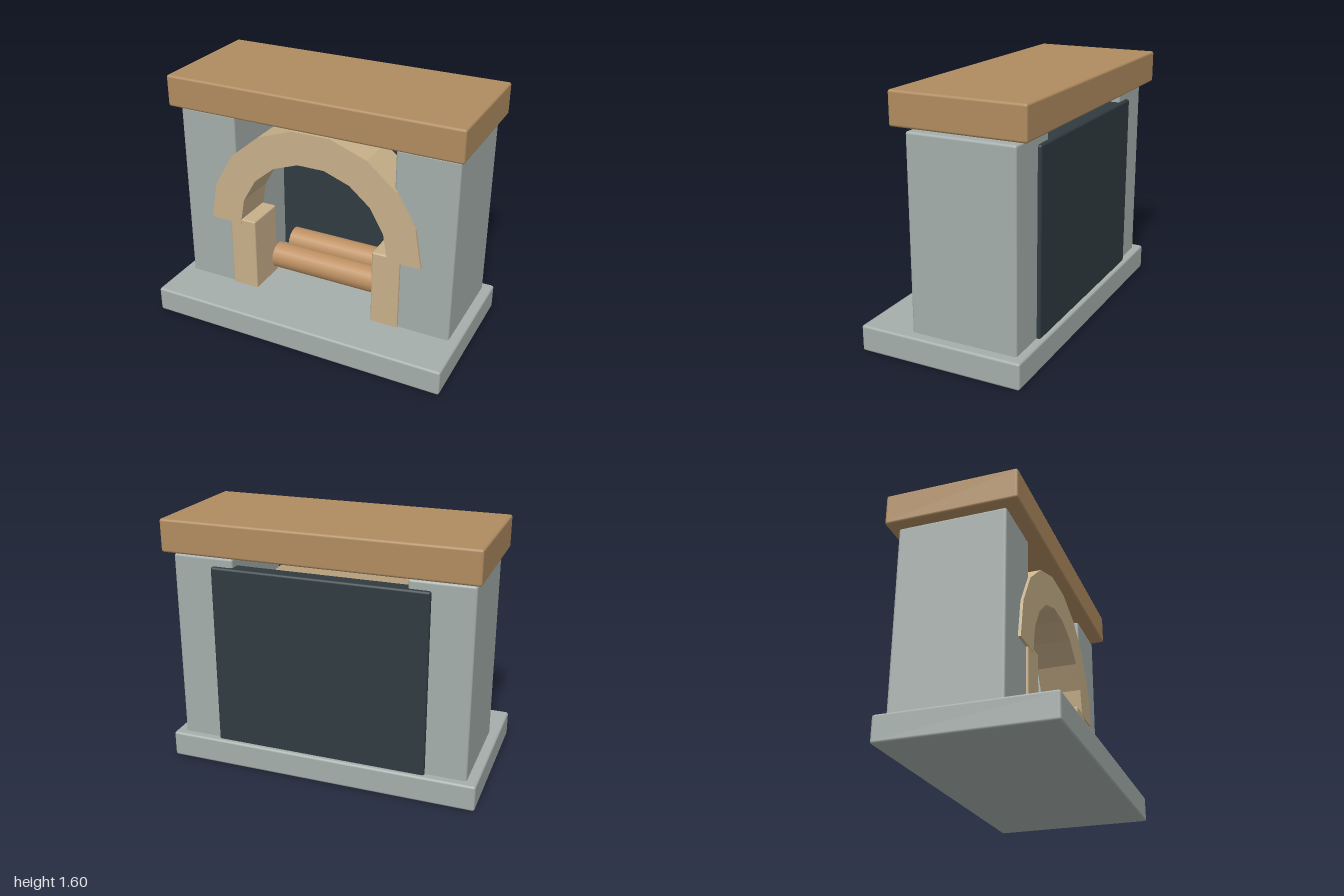
import * as THREE from 'three';
import { RoundedBoxGeometry } from 'three/addons/geometries/RoundedBoxGeometry.js';

const paint = (color) => new THREE.MeshStandardMaterial({ color });

export function createModel() {
  const model = new THREE.Group();
  model.name = 'fireplace';

  const stone = paint(0xa5aeab);
  const wood = paint(0xb08c60);
  const sandstone = paint(0xc8b08a);
  const soot = paint(0x303b40);
  const logWood = paint(0xbd9062);

  const add = (name, geometry, material) => {
    const mesh = new THREE.Mesh(geometry, material);
    mesh.name = name;
    model.add(mesh);
    return mesh;
  };

  // Softly rounded block given by its extents on each axis
  const block = (name, [x0, x1], [y0, y1], [z0, z1], material, radius = 0.015) => {
    const geometry = new RoundedBoxGeometry(x1 - x0, y1 - y0, z1 - z0, 2, radius);
    geometry.translate((x0 + x1) / 2, (y0 + y1) / 2, (z0 + z1) / 2);
    return add(name, geometry, material);
  };

  block('hearth', [-1, 1], [0, 0.166], [-0.51, 0.54], stone);
  block('mantel', [-0.972, 0.972], [1.395, 1.6], [-0.54, 0.3], wood);
  block('backPanel', [-0.68, 0.68], [0.15, 1.316], [-0.482, -0.38], soot);

  // Side pillars and the short posts carrying the arch
  for (const [side, s] of [['left', 1], ['right', -1]]) {
    const span = (a, b) => (s > 0 ? [a, b] : [-b, -a]);
    block(side + 'Pillar', span(0.543, 0.935), [0.15, 1.37], [-0.46, 0.22], stone);
    block(side + 'Post', span(0.415, 0.6), [0.15, 0.665], [-0.04, 0.235], sandstone, 0.01);
  }

  // Faceted half-ring arch
  const facets = 9;
  const arc = (radius) => Array.from({ length: facets + 1 }, (_, i) => {
    const a = (i / facets) * Math.PI;
    return new THREE.Vector2(radius * Math.cos(a), radius * Math.sin(a));
  });
  const ring = new THREE.Shape([...arc(0.736), ...arc(0.518).reverse()]);
  const archGeometry = new THREE.ExtrudeGeometry(ring, { depth: 0.278, bevelEnabled: false });
  archGeometry.translate(0, 0.635, -0.04);
  add('arch', archGeometry, sandstone);

  // Two logs lying side by side
  [['frontLog', -0.025], ['rearLog', -0.255]].forEach(([name, z]) => {
    const log = add(name, new THREE.CylinderGeometry(0.089, 0.089, 0.79, 16), logWood);
    log.rotation.z = Math.PI / 2;
    log.position.set(0, 0.297, z);
  });

  return model;
}
